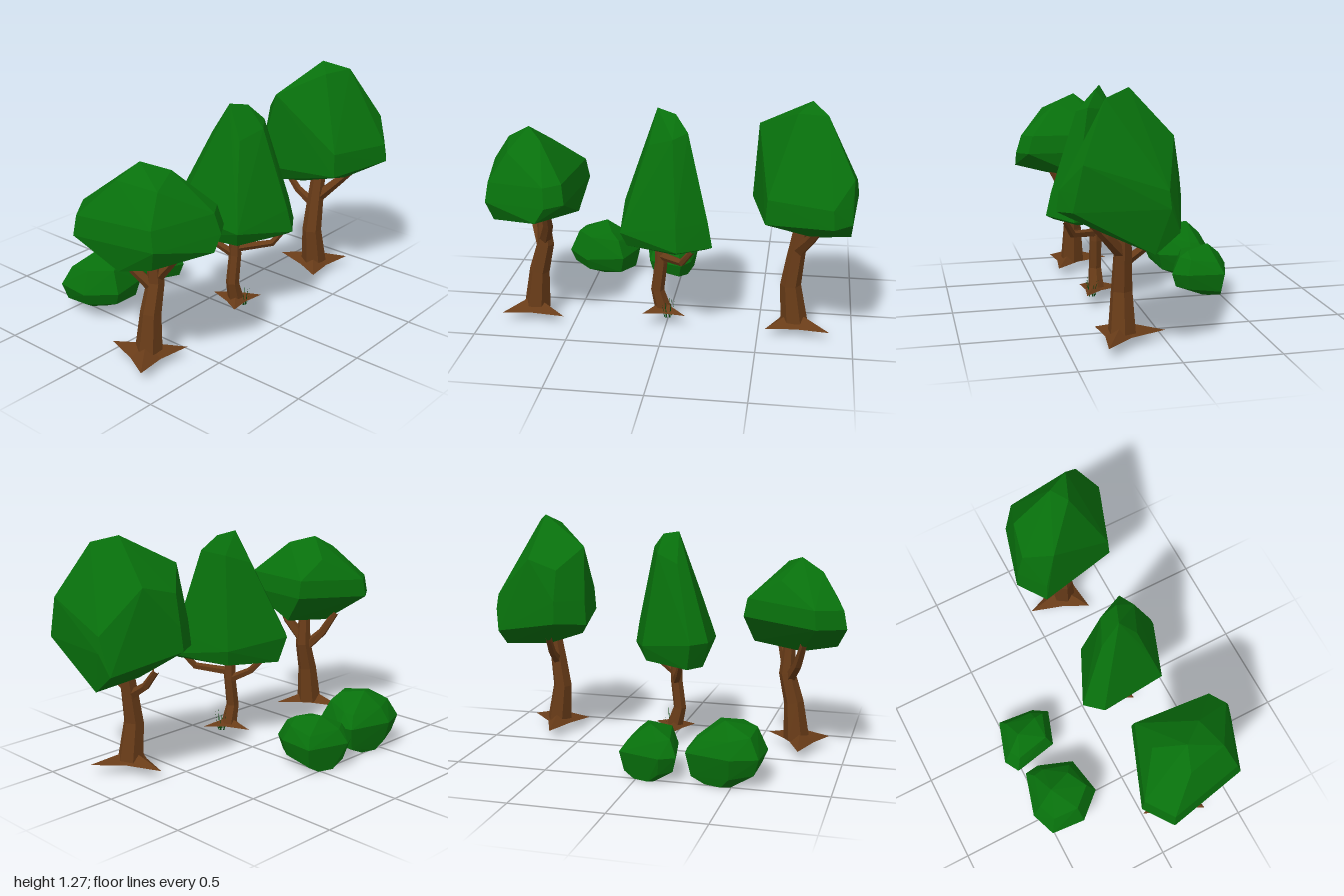
import * as THREE from 'three';
import { ConvexGeometry } from 'three/addons/geometries/ConvexGeometry.js';

const material = (color, side = THREE.FrontSide) =>
  new THREE.MeshStandardMaterial({ color, flatShading: true, side });
const leaf = material(0x08700c);
const bark = material(0x693c18);
const blade = material(0x0b4a10, THREE.DoubleSide);

function addMesh(parent, name, geometry, mat) {
  const mesh = new THREE.Mesh(geometry, mat);
  mesh.name = name;
  parent.add(mesh);
}

function fromTriangles(positions, index) {
  const g = new THREE.BufferGeometry();
  g.setAttribute('position', new THREE.Float32BufferAttribute(positions, 3));
  g.setIndex(index);
  g.computeVertexNormals();
  return g;
}

// Faceted leaf mass: one plan outline repeated at levels of
// [height, scale, shift x, shift z, tilt along x, tilt along z]; scale 0 gives a single corner
function leafMass(cx, cz, outline, levels, height = 1) {
  const points = [];
  for (const [y, s, dx = 0, dz = 0, tx = 0, tz = 0] of levels) {
    for (const [x, z] of s > 0 ? outline : [[0, 0]]) {
      points.push(new THREE.Vector3(cx + x * s + dx, (y + tx * x + tz * z) * height, cz + z * s + dz));
    }
  }
  return new ConvexGeometry(points);
}

// Tapered limb: rings of `sides` corners along a path of [x, y, z, radius]
function limb(path, sides) {
  const pts = path.map((p) => new THREE.Vector3(p[0], p[1], p[2]));
  const up = new THREE.Vector3(0, 1, 0);
  const positions = [], index = [];
  path.forEach((p, k) => {
    const dir = pts[Math.min(k + 1, pts.length - 1)].clone().sub(pts[Math.max(k - 1, 0)]).normalize();
    const turn = new THREE.Quaternion().setFromUnitVectors(up, dir);
    for (let i = 0; i < sides; i++) {
      const a = (i / sides) * Math.PI * 2;
      const v = new THREE.Vector3(Math.cos(a), 0, Math.sin(a)).multiplyScalar(p[3]);
      positions.push(...v.applyQuaternion(turn).add(pts[k]).toArray());
      if (k === 0) continue;
      const j = (i + 1) % sides, b = (k - 1) * sides, t = k * sides;
      index.push(b + i, t + i, b + j, t + i, t + j, b + j);
    }
  });
  return fromTriangles(positions, index);
}

// Pointed root flare: a low three-cornered star with a closed underside
const rootOutline = [[0.19, 0.11], [0.01, 0.09], [-0.15, 0.11], [-0.08, -0.03], [-0.02, -0.22], [0.06, -0.03]];
function rootFlare(x, y, z, s) {
  const positions = [x, y + 0.065 * s, z, x, y, z], index = [];
  const n = rootOutline.length;
  rootOutline.forEach(([dx, dz], i) => {
    positions.push(x + dx * s, y, z + dz * s);
    const a = 2 + i, b = 2 + ((i + 1) % n);
    index.push(0, b, a, 1, a, b);
  });
  return fromTriangles(positions, index);
}

// Wood of a tree: flare, trunk and branches
function wood(name, root, trunk, ...branches) {
  const group = new THREE.Group();
  group.name = name;
  addMesh(group, 'roots', rootFlare(...root), bark);
  addMesh(group, 'trunk', limb(trunk, 6), bark);
  branches.forEach((path) => addMesh(group, 'branch', limb(path, 5), bark));
  return group;
}

const broadOutline = [[-0.28, -0.23], [-0.13, -0.34], [0.28, -0.18], [0.24, 0.27], [0.15, 0.33], [-0.19, 0.21]];
const slenderOutline = [[-0.26, -0.2], [-0.18, -0.29], [0.13, -0.14], [0.26, 0.18], [0.09, 0.3], [-0.22, 0.18]];
const wideBushOutline = [[-0.19, -0.14], [-0.05, -0.19], [0.19, -0.12], [0.2, -0.04],
  [0.13, 0.15], [-0.08, 0.19], [-0.205, 0.05]];
const narrowBushOutline = [[-0.155, -0.135], [-0.075, -0.18], [0.155, -0.105], [0.135, 0.1],
  [0.085, 0.18], [-0.105, 0.115]];

function tallTree() {
  const group = wood('tallTree', [0.69, 0.06, 0.22, 1],
    [[0.69, 0.07, 0.225, 0.072], [0.665, 0.28, 0.22, 0.055], [0.685, 0.43, 0.22, 0.048], [0.71, 0.6, 0.22, 0.04]],
    [[0.7, 0.48, 0.23, 0.035], [0.76, 0.58, 0.32, 0.028], [0.81, 0.69, 0.42, 0.02]],
    [[0.69, 0.43, 0.21, 0.028], [0.68, 0.5, 0.1, 0.022], [0.67, 0.6, 0.02, 0.018]]);
  addMesh(group, 'crown', leafMass(0.72, 0.24, broadOutline, [
    [0.53, 0, 0.25, -0.11], [0.55, 0, -0.02, -0.12], [0.62, 0, -0.22, -0.12], [0.61, 0, 0.05, 0.12],
    [0.63, 0, 0.25, -0.23], [0.72, 1, 0, 0, 0.1], [0.83, 0.96],
    [0.96, 0, 0.24, 0.22], [1.12, 0, -0.25, -0.16], [1.0, 0, -0.13, -0.29], [1.05, 0, 0.05, -0.25],
    [1.24, 0, 0.1, 0.09], [1.23, 0, -0.05, 0.03], [1.28, 0, 0.02, -0.04],
  ]), leaf);
  return group;
}

function roundTree() {
  const group = wood('roundTree', [-0.74, 0.06, 0.22, 1],
    [[-0.72, 0.07, 0.22, 0.072], [-0.7, 0.28, 0.22, 0.055], [-0.66, 0.44, 0.22, 0.046], [-0.67, 0.64, 0.22, 0.03]],
    [[-0.68, 0.42, 0.21, 0.032], [-0.73, 0.51, 0.13, 0.026], [-0.77, 0.64, 0.06, 0.02]],
    [[-0.66, 0.47, 0.23, 0.034], [-0.62, 0.58, 0.31, 0.028], [-0.61, 0.7, 0.38, 0.02]]);
  addMesh(group, 'crown', leafMass(-0.72, 0.24, broadOutline, [
    [0.6, 0, -0.21, 0], [0.59, 0, -0.03, -0.12], [0.62, 0, 0.24, -0.06], [0.63, 0, 0.05, 0.14],
    [0.64, 0, -0.16, 0.17], [0.69, 0, 0.1, 0.33], [0.76, 1, 0, 0, 0.06], [0.86, 0.93, 0, -0.01, 0.06],
    [1.02, 0, -0.13, -0.08], [1.05, 0, 0.08, 0.08], [0.98, 0, 0.08, -0.18], [1.0, 0, -0.08, 0.14],
    [1.09, 0, -0.01, -0.04],
  ]), leaf);
  return group;
}

function slenderTree() {
  const group = wood('slenderTree', [-0.02, 0.085, 0.21, 0.68],
    [[-0.02, 0.09, 0.21, 0.045], [-0.05, 0.2, 0.21, 0.036], [-0.03, 0.36, 0.21, 0.034], [-0.03, 0.55, 0.21, 0.03]],
    [[-0.03, 0.4, 0.21, 0.024], [0.1, 0.43, 0.36, 0.02], [0.16, 0.52, 0.41, 0.016]],
    [[-0.03, 0.36, 0.2, 0.024], [-0.07, 0.42, 0.09, 0.02], [-0.11, 0.52, 0, 0.015]]);
  addMesh(group, 'crown', leafMass(0, 0.2, slenderOutline, [
    [0.5, 0.86, 0, 0, 0, 0.05], [0.58, 1, 0, 0, -0.12, -0.1], [0.66, 0.9],
    [0.84, 0.67], [1.07, 0.42, 0.01, 0, 0.15], [1.19, 0, 0.05, 0.02], [1.21, 0, -0.05, -0.02],
  ]), leaf);
  return group;
}

// Rounded bush profile resting on a small base
const bushLevels = [[0.01, 0.36, 0.02, -0.07], [0.075, 0.86, 0, 0, -0.1, 0.1], [0.17, 1],
  [0.265, 0.74, 0, 0, -0.1, 0.1], [0.335, 0, 0, -0.05], [0.31, 0, 0.05, 0.08]];

// Grass tuft: a spiral of thin leaning blades
function grassTuft() {
  const grass = new THREE.Group();
  grass.name = 'grassTuft';
  for (let i = 0; i < 7; i++) {
    const c = Math.cos(i * 2.4), s = Math.sin(i * 2.4), h = 0.07 + 0.02 * (i % 4);
    const x = 0.01 + 0.02 * c, z = 0.24 + 0.02 * s;
    addMesh(grass, 'grassBlade', fromTriangles([
      x - 0.005 * s, 0.055, z + 0.005 * c,
      x + 0.005 * s, 0.055, z - 0.005 * c,
      x + 0.02 * c, 0.055 + h, z + 0.02 * s,
    ], [0, 1, 2]), blade);
  }
  return grass;
}

export function createModel() {
  const model = new THREE.Group();
  model.name = 'grove';
  model.add(tallTree(), roundTree(), slenderTree(), grassTuft());
  addMesh(model, 'wideBush', leafMass(-0.45, -0.38, wideBushOutline, bushLevels), leaf);
  addMesh(model, 'narrowBush', leafMass(-0.065, -0.395, narrowBushOutline, bushLevels, 0.87), leaf);
  return model;
}
